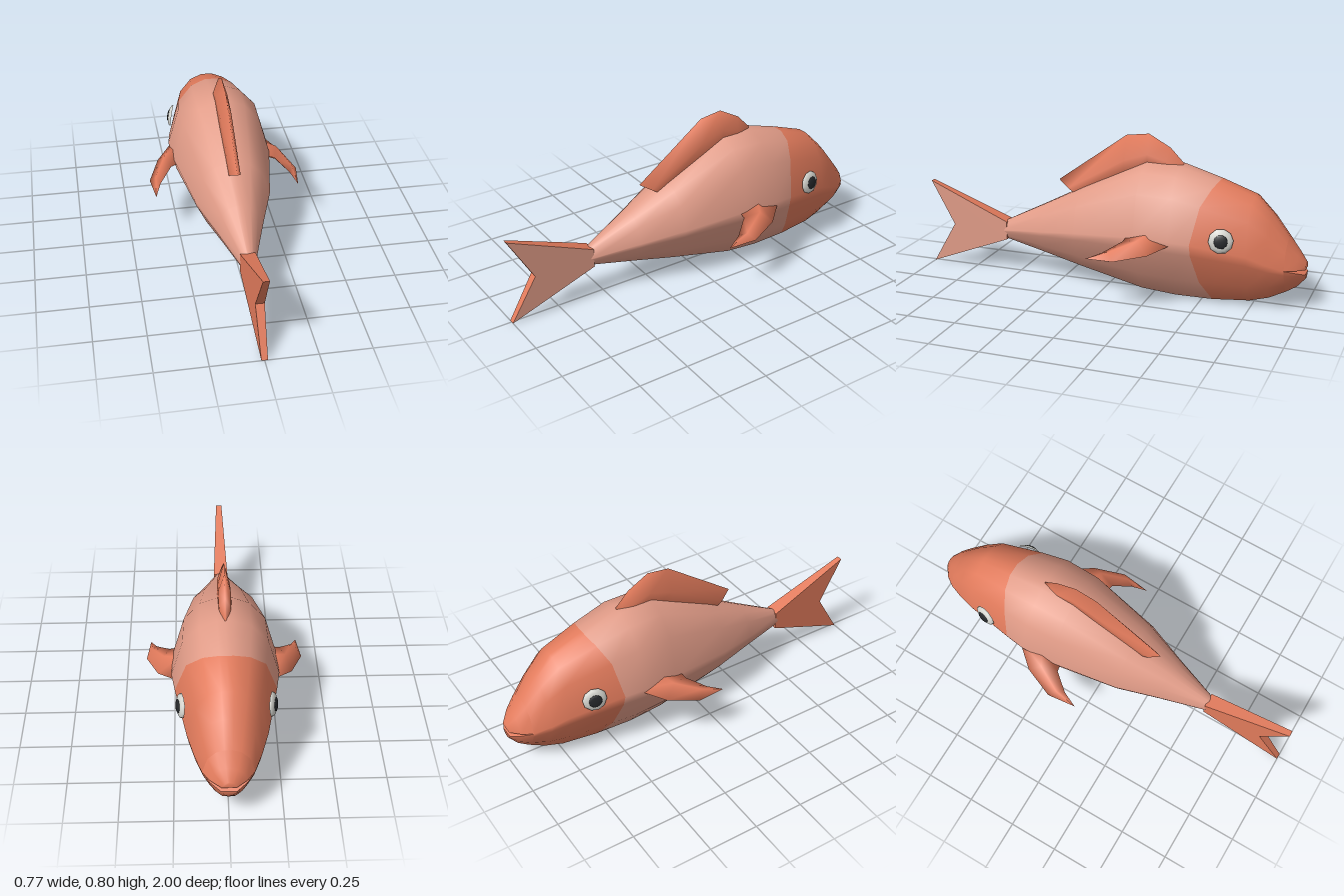
import * as THREE from 'three';

const paint = (name, color) => {
  const m = new THREE.MeshStandardMaterial({ color });
  m.name = name;
  return m;
};

// Skin through closed rings of [x, y, z] points, with optional end caps
function loft(rings, capStart = true, capEnd = true) {
  const n = rings[0].length, idx = [];
  for (let i = 0; i < rings.length - 1; i++)
    for (let j = 0; j < n; j++) {
      const a = i * n + j, b = i * n + (j + 1) % n;
      idx.push(a, b, a + n, b, b + n, a + n);
    }
  const last = (rings.length - 1) * n;
  for (let j = 1; j < n - 1; j++) {
    if (capStart) idx.push(0, j + 1, j);
    if (capEnd) idx.push(last, last + j, last + j + 1);
  }
  const g = new THREE.BufferGeometry();
  g.setAttribute('position', new THREE.Float32BufferAttribute(rings.flat(2), 3));
  g.setIndex(idx);
  g.computeVertexNormals();
  return g;
}

// Body stations: z, half width, top, height of widest point, bottom
const STATIONS = [
  [-0.91, 0.12, 0.35, 0.22, 0.085],
  [-0.83, 0.155, 0.455, 0.25, 0.045],
  [-0.74, 0.187, 0.545, 0.29, 0.02],
  [-0.55, 0.23, 0.61, 0.33, 0.005],
  [-0.375, 0.258, 0.66, 0.345, 0.007],
  [-0.2, 0.25, 0.665, 0.345, 0.02],
  [0.13, 0.19, 0.505, 0.31, 0.09],
  [0.34, 0.115, 0.395, 0.27, 0.133],
  [0.575, 0.037, 0.275, 0.228, 0.18],
];
// Half outline from belly to back: fraction of width, fraction of height
const LOWER = [[0, -1], [0.35, -0.96], [0.7, -0.62], [0.95, -0.17]];
const UPPER = [[0.78, 0.62], [0.47, 0.9], [0.15, 1], [0, 1]];
const HALF = [...LOWER, [1, 0], ...UPPER];
const mirrorX = pts => pts.map(([x, y]) => [-x, y]).reverse();
const OUTLINE = [...HALF, ...mirrorX(HALF).slice(1, -1)];

function station(z) {
  let i = 0;
  while (i < STATIONS.length - 2 && STATIONS[i + 1][0] < z) i++;
  const a = STATIONS[i], b = STATIONS[i + 1], t = (z - a[0]) / (b[0] - a[0]);
  return a.map((v, k) => v + (b[k] - v) * t);
}
const place = ([x, t], [z, w, top, mid, bot]) =>
  [x * w, t > 0 ? mid + (top - mid) * t : mid + (mid - bot) * t, z];

export function createModel() {
  const orange = paint('orange', 0xe27b5c);
  const pink = paint('pink', 0xe09b87);
  const white = paint('eyeWhite', 0xd6d6d0);
  const black = paint('pupilBlack', 0x25272a);
  const fish = new THREE.Group();
  fish.name = 'fish';
  const add = (name, geo, mat, parent = fish) => {
    const m = new THREE.Mesh(geo, mat);
    m.name = name;
    parent.add(m);
    return m;
  };

  // Body, with a curved colour change behind the head
  const edgeOfHead = t => -0.48 - 0.085 * t * t;
  const zs = [-0.91, -0.83, -0.74, null, -0.375, -0.2, 0.13, 0.34, 0.575];
  const bodyGeo = loft(zs.map(z => OUTLINE.map(p => place(p, station(z ?? edgeOfHead(p[1]))))), false, false);
  const headCount = 3 * OUTLINE.length * 6;
  bodyGeo.addGroup(0, headCount, 0);
  bodyGeo.addGroup(headCount, Infinity, 1);
  add('body', bodyGeo, [orange, pink]);

  // Jaws, parted by a narrow mouth; corner points doubled for a sharp lip
  const upperArc = [[1, 0], ...UPPER, ...mirrorX(UPPER).slice(1), [-1, 0], [-1, 0], [1, 0]];
  const lowerArc = [[-1, 0], ...mirrorX(LOWER), ...LOWER.slice(1), [1, 0], [1, 0], [-1, 0]];
  const jaw = (arc, mids) => loft([
    [-0.998, 0.035, 0.238, mids[0], 0.158],
    [-0.96, 0.085, 0.285, mids[1], 0.115],
    STATIONS[0],
  ].map(s => arc.map(p => place(p, s))), true, false);
  add('upperJaw', jaw(upperArc, [0.208, 0.216]), orange);
  add('lowerJaw', jaw(lowerArc, [0.184, 0.204]), orange);

  // Dorsal fin: base z, base y, tip z, tip y, half thickness
  const dorsalRows = [
    [-0.36, 0.62, -0.38, 0.668, 0.012],
    [-0.28, 0.62, -0.31, 0.74, 0.033],
    [-0.2, 0.62, -0.2, 0.8, 0.035],
    [-0.08, 0.56, -0.085, 0.785, 0.035],
    [0.17, 0.46, 0.275, 0.525, 0.03],
  ];
  add('dorsalFin', loft(dorsalRows.map(([bz, by, tz, ty, w]) => {
    const mz = bz + (tz - bz) * 0.45, my = by + (ty - by) * 0.45;
    return [[w, by, bz], [w * 0.85, my, mz], [0, ty, tz], [-w * 0.85, my, mz], [-w, by, bz]];
  })), orange);

  // Side fins: rings of leading, upper, trailing and lower points
  const tip = [0.366, 0.255, -0.005];
  const finRings = [
    [[0.22, 0.34, -0.42], [0.22, 0.375, -0.28], [0.2, 0.35, -0.17], [0.22, 0.28, -0.28]],
    [[0.325, 0.29, -0.3], [0.295, 0.35, -0.24], [0.27, 0.33, -0.16], [0.29, 0.272, -0.24]],
    [[0.384, 0.263, -0.15], [0.355, 0.3, -0.12], [0.335, 0.285, -0.08], [0.36, 0.253, -0.12]],
    [tip, tip, tip, tip],
  ];
  const flipped = finRings.map(r => r.map(([x, y, z]) => [-x, y, z]).reverse());
  add('leftFin', loft(finRings), orange);
  add('rightFin', loft(flipped), orange);

  // Forked tail, thinning towards its end, pink on its left face only
  const tailShape = new THREE.Shape(
    [[0.56, 0.18], [1, 0.005], [0.87, 0.225], [1, 0.45], [0.56, 0.275]].map(p => new THREE.Vector2(...p)));
  const tailGeo = new THREE.ExtrudeGeometry(tailShape, { depth: 2, bevelEnabled: false });
  tailGeo.translate(0, 0, -1).rotateY(-Math.PI / 2);
  const pos = tailGeo.attributes.position;
  for (let i = 0; i < pos.count; i++)
    pos.setX(i, pos.getX(i) * (0.037 - 0.05 * (pos.getZ(i) - 0.56)));
  tailGeo.computeVertexNormals();
  const lid = tailGeo.groups[0].count / 2;
  tailGeo.clearGroups();
  tailGeo.addGroup(0, lid, 1);
  tailGeo.addGroup(lid, Infinity, 0);
  add('tail', tailGeo, [orange, pink]);

  // Eyes: shallow domes turned to follow the head
  for (const s of [1, -1]) {
    const eye = new THREE.Group();
    eye.name = s > 0 ? 'leftEye' : 'rightEye';
    const dome = (r, h) => new THREE.SphereGeometry(r, 10, 4, 0, Math.PI * 2, 0, Math.PI / 2).scale(1, h / r, 1);
    add('eyeWhite', dome(0.06, 0.022), white, eye);
    add('pupil', dome(0.034, 0.009), black, eye).position.y = 0.017;
    eye.position.set(s * 0.208, 0.365, -0.625);
    eye.quaternion.setFromUnitVectors(new THREE.Vector3(0, 1, 0), new THREE.Vector3(s, 0.14, -0.24).normalize());
    fish.add(eye);
  }
  return fish;
}
